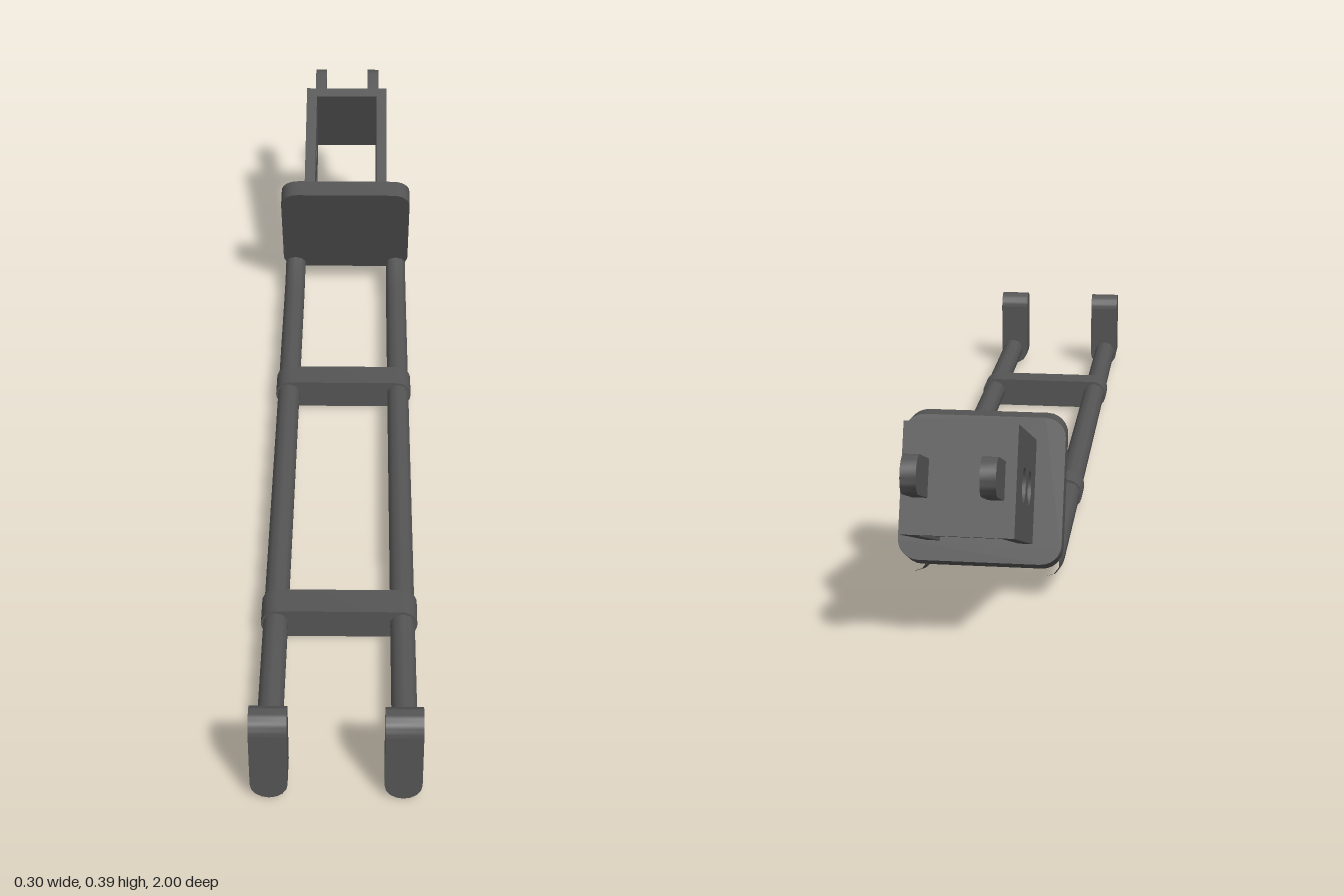
import * as THREE from 'three';
import { toCreasedNormals } from 'three/addons/utils/BufferGeometryUtils.js';

const darkGrey = new THREE.MeshStandardMaterial({ color: 0x555555 });

function addMesh(parent, name, geometry) {
  const mesh = new THREE.Mesh(geometry, darkGrey);
  mesh.name = name;
  parent.add(mesh);
  return mesh;
}

// Extrude an outline along z, centred on z = 0
function extrude(shape, depth, curveSegments = 4) {
  const g = new THREE.ExtrudeGeometry(shape, { depth, bevelEnabled: false, curveSegments });
  return g.translate(0, 0, -depth / 2);
}

// Extrude a (z, y) outline along x, centred on x = cx
function extrudeAcross(shape, width, cx, curveSegments) {
  return extrude(shape, width, curveSegments).rotateY(-Math.PI / 2).translate(cx, 0, 0);
}

// Rectangle with rounded corners
function roundedRect(x0, x1, y0, y1, r) {
  const s = new THREE.Shape();
  s.absarc(x1 - r, y0 + r, r, -Math.PI / 2, 0);
  s.absarc(x1 - r, y1 - r, r, 0, Math.PI / 2);
  s.absarc(x0 + r, y1 - r, r, Math.PI / 2, Math.PI);
  s.absarc(x0 + r, y0 + r, r, Math.PI, Math.PI * 1.5);
  return s;
}

function rectangle(x0, x1, y0, y1) {
  return new THREE.Shape([[x0, y0], [x1, y0], [x1, y1], [x0, y1]].map(p => new THREE.Vector2(...p)));
}

export function createModel() {
  const model = new THREE.Group();
  model.name = 'railFrame';

  for (const side of [-1, 1]) {
    const label = side > 0 ? 'left' : 'right';
    const x = side * 0.119;

    // Long rod, bent upward at the back
    const path = new THREE.CurvePath();
    const p = (y, z) => new THREE.Vector3(x, y, z);
    path.add(new THREE.LineCurve3(p(0.037, 0.96), p(0.037, -0.49)));
    path.add(new THREE.QuadraticBezierCurve3(p(0.037, -0.49), p(0.037, -0.55), p(0.066, -0.62)));
    addMesh(model, label + 'Rod', new THREE.TubeGeometry(path, 80, 0.024, 10));

    // Front stop: rounded underneath across x, rounded on top along z
    const stop = new THREE.Group();
    stop.name = label + 'FrontStop';
    const lower = new THREE.Shape();
    lower.moveTo(0.0325, 0.15);
    lower.lineTo(-0.0325, 0.15);
    lower.absarc(0, 0.0325, 0.0325, Math.PI, Math.PI * 2);
    addMesh(stop, 'stopBody', toCreasedNormals(extrude(lower, 0.06), 0.9));
    const cap = new THREE.Shape();
    cap.absarc(0, 0.15, 0.03, 0, Math.PI);
    addMesh(stop, 'stopCap', toCreasedNormals(extrudeAcross(cap, 0.065, 0, 8), 0.9));
    stop.position.set(side * 0.1155, 0, 0.97);
    model.add(stop);
  }

  // Cross ties that wrap both rods
  for (const [name, z] of [['frontTie', 0.58], ['rearTie', -0.135]]) {
    const tie = extrude(roundedRect(-0.147, 0.147, 0.003, 0.066, 0.031), 0.06, 3);
    addMesh(model, name, toCreasedNormals(tie, 0.7)).position.z = z;
  }

  // Tilted head: local y runs up the plate, local z is the plate's normal
  const head = new THREE.Group();
  head.name = 'head';
  head.rotation.x = Math.PI / 8;
  model.add(head);

  // Plate, slightly shorter on its back face
  const plate = extrude(roundedRect(-0.147, 0.147, -0.187, 0.095, 0.038), 0.05, 3);
  const pos = plate.attributes.position;
  for (let i = 0; i < pos.count; i++) {
    if (pos.getZ(i) < 0) pos.setY(i, (pos.getY(i) + 0.046) * 0.93 - 0.05);
  }
  plate.translate(0, 0, -0.598);
  addMesh(head, 'headPlate', toCreasedNormals(plate, 0.7));

  // Open bracket: two drilled sides and a back wall
  for (const side of [-1, 1]) {
    const label = side > 0 ? 'left' : 'right';
    const panel = rectangle(-0.906, -0.62, -0.145, 0.041);
    for (const z of [-0.718, -0.812]) {
      const hole = new THREE.Path();
      hole.absarc(z, -0.051, 0.03, 0, Math.PI * 2, true);
      panel.holes.push(hole);
    }
    addMesh(head, label + 'BracketSide',
      toCreasedNormals(extrudeAcross(panel, 0.024, side * 0.083, 8), 0.7));

    // Round-ended prong behind the bracket
    const prong = new THREE.Shape();
    prong.moveTo(-0.925, -0.084);
    prong.lineTo(-0.925, -0.02);
    prong.lineTo(-1.026, -0.02);
    prong.absarc(-1.026, -0.052, 0.032, Math.PI / 2, Math.PI * 1.5);
    addMesh(head, label + 'Prong',
      toCreasedNormals(extrudeAcross(prong, 0.026, side * 0.063, 6), 0.7));
  }
  const wall = new THREE.BoxGeometry(0.19, 0.186, 0.025).translate(0, -0.052, -0.918);
  addMesh(head, 'bracketBack', wall);

  return model;
}
